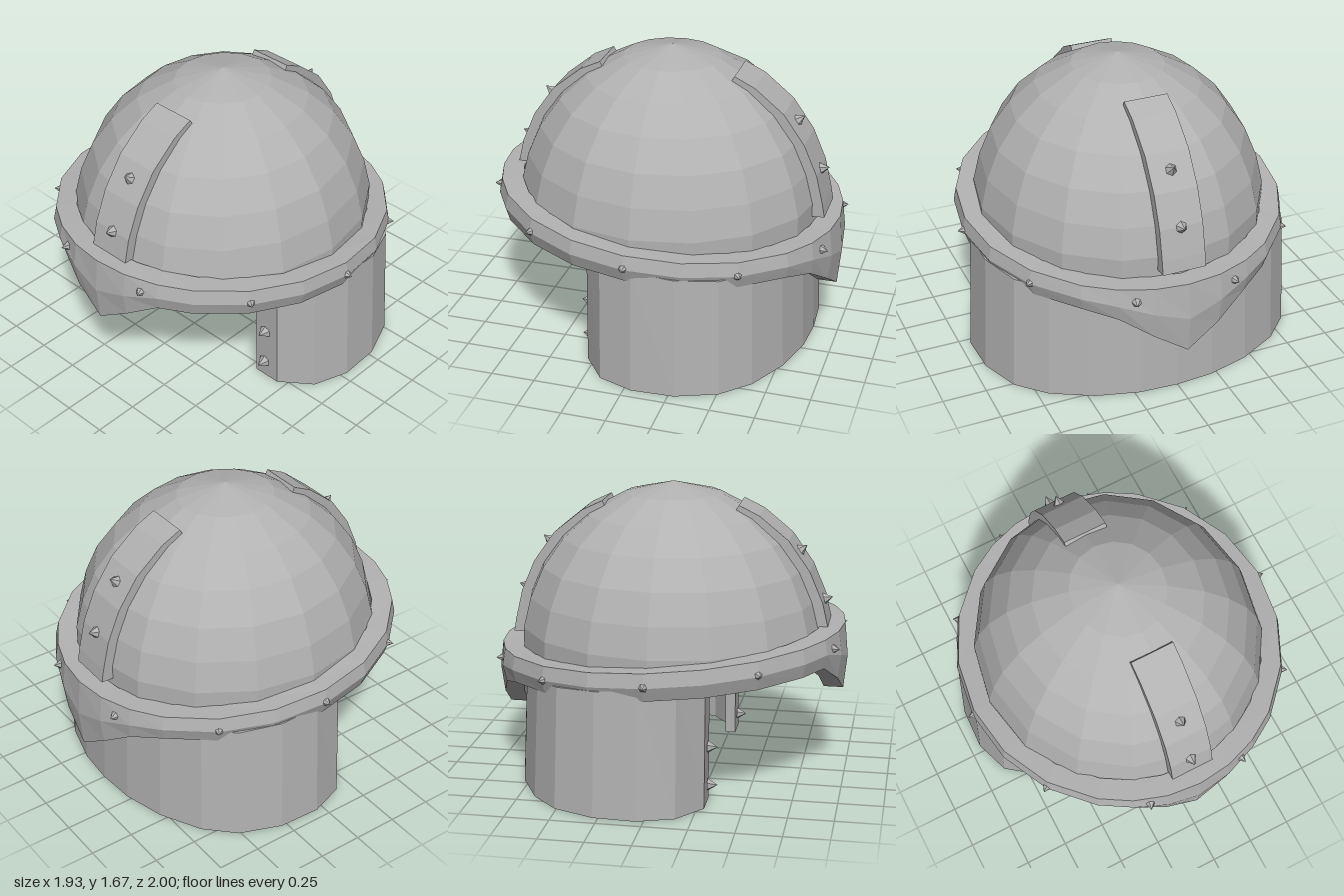
import * as THREE from 'three';

const steel = new THREE.MeshStandardMaterial({ color: 0xb2b2b2 });
steel.name = 'steel grey';

// Faceted mesh: every triangle keeps its own normal
function facetedMesh(geometry, name) {
  const flat = geometry.index ? geometry.toNonIndexed() : geometry;
  flat.computeVertexNormals();
  const mesh = new THREE.Mesh(flat, steel);
  mesh.name = name;
  return mesh;
}

// Joins cross-section loops; either a closed ring or a capped strip
function loft(sections, ring) {
  const n = sections[0].length;
  const index = [];
  const last = ring ? sections.length : sections.length - 1;
  for (let i = 0; i < last; i++) {
    const a = i * n, b = ((i + 1) % sections.length) * n;
    for (let j = 0; j < n; j++) {
      const k = (j + 1) % n;
      index.push(a + j, a + k, b + k, a + j, b + k, b + j);
    }
  }
  if (!ring) {
    const e = (sections.length - 1) * n;
    for (let j = 1; j < n - 1; j++) index.push(0, j + 1, j, e, e + j, e + j + 1);
  }
  const geometry = new THREE.BufferGeometry();
  geometry.setAttribute('position', new THREE.Float32BufferAttribute(sections.flat(2), 3));
  geometry.setIndex(index);
  return geometry;
}

// Hollow sixteen-sided dome, slightly longer than wide
function makeDome() {
  const outer = [[0.82, 0.7], [0.82, 0.86], [0.78, 1.03], [0.71, 1.2], [0.6, 1.36], [0.46, 1.49], [0.26, 1.605], [0, 1.67]];
  const inner = outer.map(([r, y]) => [r * 0.93, 0.7 + (y - 0.7) * 0.95]).reverse();
  const points = [...outer, ...inner, outer[0]].map(([r, y]) => new THREE.Vector2(r, y));
  return facetedMesh(new THREE.LatheGeometry(points, 16).scale(1, 1, 1.06), 'dome');
}

// Tilted brow band with a pointed drop at front and back
function makeBand() {
  const quarter = [0, 12, 24, 36, 54, 72];
  const half = [...quarter, 90, ...quarter.slice(1).reverse().map((a) => 180 - a)];
  const angles = [...half, ...half.map((a) => a + 180)];
  const sections = angles.map((deg) => {
    const t = THREE.MathUtils.degToRad(deg);
    const s = Math.sin(t), c = Math.cos(t);
    const fromTip = Math.min(deg % 180, 180 - (deg % 180));
    const drop = Math.max(0, 1 - Math.abs(s) / Math.sin(Math.PI * 24 / 180)) * (c > 0 ? 0.225 : 0.275);
    const sag = c < 0 && fromTip < 30 ? 0.04 * fromTip / 24 : 0;
    const top = 0.82 + 0.076 * c;
    const bottom = 0.663 + 0.07 * c - drop - sag;
    const at = (rx, rz, y) => [rx * s, y, rz * c];
    return [
      at(0.92, 0.982, top),
      at(0.935, 1.0, (top + bottom) / 2),
      at(0.905, 0.98, bottom),
      at(0.81, 0.87, bottom),
      at(0.81, 0.86, top),
    ];
  });
  return facetedMesh(loft(sections, true), 'browBand');
}

// Wall around the neck, ending in flat cheek panels
function makeNeckGuard() {
  const side = [[0.54, 0.29], [0.7, 0.29], [0.87, 0.16], [0.94, -0.04], [0.93, -0.28], [0.84, -0.51], [0.69, -0.66], [0.46, -0.78], [0.22, -0.845]];
  const path = [...side, [0, -0.86], ...side.map(([x, z]) => [-x, z]).reverse()];
  const thickness = 0.06;
  const sections = path.map(([x, z], i) => {
    const p = path[Math.max(0, i - 1)], q = path[Math.min(path.length - 1, i + 1)];
    const dx = q[0] - p[0], dz = q[1] - p[1], len = Math.hypot(dx, dz);
    const ix = x - (-dz / len) * -thickness * -1, iz = z - (dx / len) * thickness;
    const taper = ([px, pz]) => [px * 0.965, 0.72 + 0.07 * pz, pz < 0 ? pz * 0.965 : pz];
    return [taper([x, z]), [x, 0, z], [ix, 0, iz], taper([ix, iz])];
  });
  return facetedMesh(loft(sections, false), 'neckGuard');
}

// Curved strap lying on the front of the dome
function makeStrap() {
  const outer = [[0.385, 1.565], [0.5, 1.51], [0.665, 1.375], [0.785, 1.205], [0.86, 1.03], [0.9, 0.86], [0.913, 0.785]];
  const inner = outer.map(([z, y]) => [z * 0.92, 0.75 + (y - 0.75) * 0.93]).reverse();
  const shape = new THREE.Shape([...outer, ...inner].map(([z, y]) => new THREE.Vector2(z, y)));
  const geometry = new THREE.ExtrudeGeometry(shape, { depth: 0.25, bevelEnabled: false, steps: 1 });
  geometry.rotateY(-Math.PI / 2).translate(0.125, 0, 0);
  return facetedMesh(geometry, 'strap');
}

// Small six-sided stud pointing along a direction
function makeRivet(position, direction) {
  const geometry = new THREE.ConeGeometry(0.036, 0.055, 6).translate(0, 0.0225, 0);
  const rivet = facetedMesh(geometry, 'rivet');
  rivet.position.set(...position);
  rivet.quaternion.setFromUnitVectors(new THREE.Vector3(0, 1, 0), new THREE.Vector3(...direction).normalize());
  return rivet;
}

export function createModel() {
  const model = new THREE.Group();
  model.name = 'helmet';
  model.add(makeDome(), makeBand(), makeNeckGuard());

  // Matching straps at front and back
  for (const [name, turn] of [['frontStrap', 0], ['backStrap', Math.PI]]) {
    const strap = new THREE.Group();
    strap.name = name;
    strap.add(makeStrap(), makeRivet([0, 1.3, 0.718], [0, 0.6, 0.8]), makeRivet([0, 1.025, 0.86], [0, 0.25, 0.97]));
    strap.rotation.y = turn;
    model.add(strap);
  }

  // Ten studs around the band
  const bandRivets = new THREE.Group();
  bandRivets.name = 'bandRivets';
  for (let i = 0; i < 10; i++) {
    const t = Math.PI * (i + 0.5) / 5;
    const s = Math.sin(t), c = Math.cos(t);
    bandRivets.add(makeRivet([0.915 * s, 0.745 + 0.077 * c, 0.975 * c], [s, 0, c]));
  }
  model.add(bandRivets);

  // Two studs on each cheek panel
  const cheekRivets = new THREE.Group();
  cheekRivets.name = 'cheekRivets';
  for (const x of [-0.605, 0.605]) {
    for (const y of [0.105, 0.325]) cheekRivets.add(makeRivet([x, y, 0.3], [0, 0, 1]));
  }
  model.add(cheekRivets);
  return model;
}
